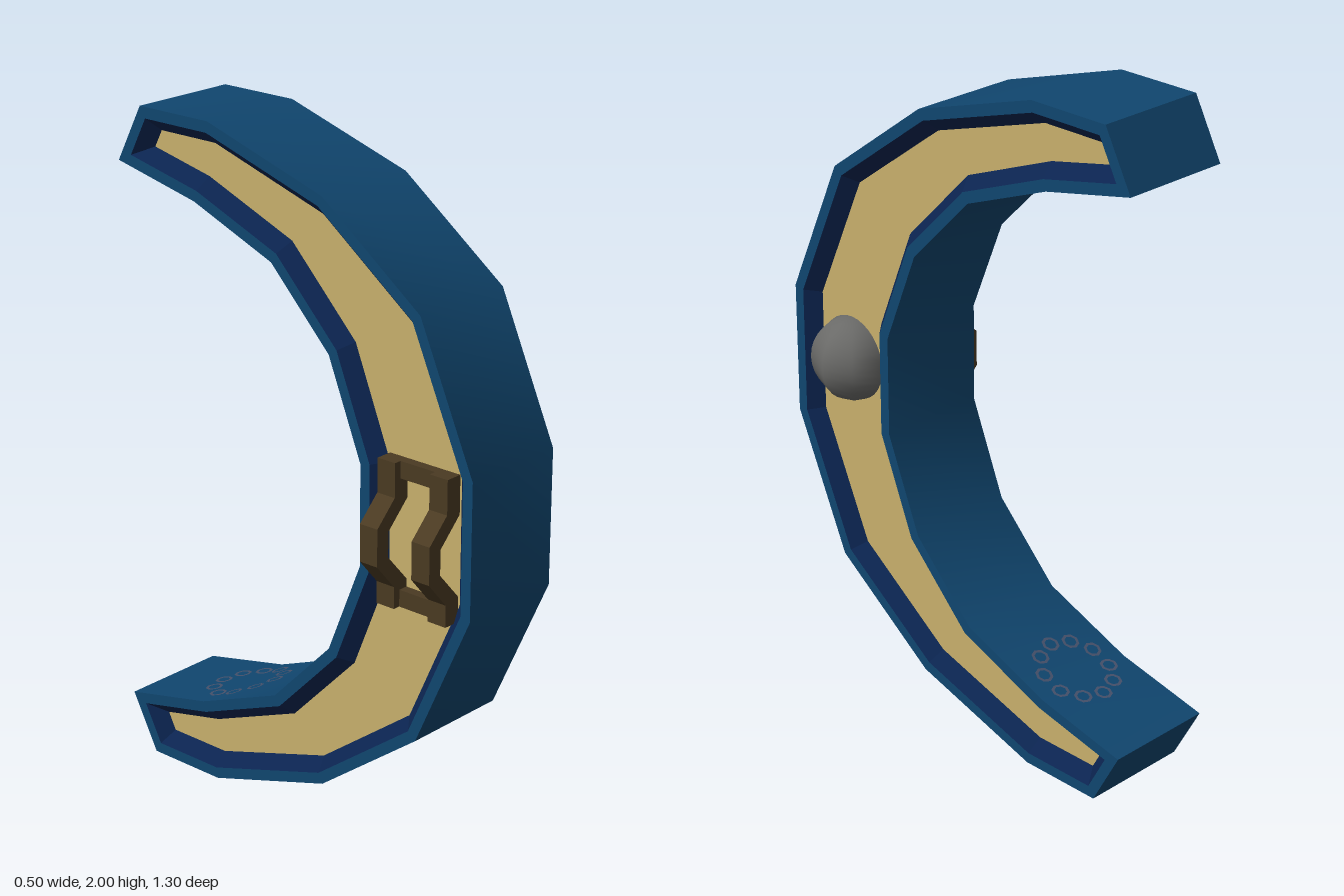
import * as THREE from 'three';

const HALF = 0.17; // half of the shield's width
const mat = (name, color) => {
  const m = new THREE.MeshStandardMaterial({ color });
  m.name = name;
  return m;
};

// Move a closed counter-clockwise outline inward by d with mitred corners
function inset(points, d) {
  const n = points.length;
  return points.map((p, i) => {
    const a = p.clone().sub(points[(i + n - 1) % n]).normalize();
    const b = points[(i + 1) % n].clone().sub(p).normalize();
    const n1 = new THREE.Vector2(-a.y, a.x);
    const n2 = new THREE.Vector2(-b.y, b.x);
    return n1.clone().add(n2).multiplyScalar(d / (1 + n1.dot(n2))).add(p);
  });
}

// Surface between two matching outlines lying at x = xa and x = xb
function strip(a, xa, b, xb, { closed = false, flat = false } = {}) {
  const pos = [], idx = [], n = a.length;
  a.forEach((p) => pos.push(xa, p.y, -p.x));
  b.forEach((p) => pos.push(xb, p.y, -p.x));
  for (let i = 0; i < (closed ? n : n - 1); i++) {
    const j = (i + 1) % n;
    idx.push(i, j, n + j, i, n + j, n + i);
  }
  let g = new THREE.BufferGeometry();
  g.setAttribute('position', new THREE.Float32BufferAttribute(pos, 3));
  g.setIndex(idx);
  if (flat) g = g.toNonIndexed();
  g.computeVertexNormals();
  return g;
}

export function createModel() {
  const model = new THREE.Group();
  const blue = mat('rimBlue', 0x10466f);
  const navy = mat('recessNavy', 0x0b2450);
  const tan = mat('panelTan', 0xc8b06c);
  const steel = mat('bossGrey', 0x6a6a68);
  const leather = mat('strapBrown', 0x4a3a22);
  const slate = mat('ornamentSlate', 0x45506a);
  const add = (name, geometry, material, parent = model) => {
    const mesh = new THREE.Mesh(geometry, material);
    mesh.name = name;
    parent.add(mesh);
    return mesh;
  };

  // Crescent outline as (-z, y); the lower half mirrors the upper
  const V = (x, y) => new THREE.Vector2(x, y);
  const flip = (list) => list.map((p) => V(p.x, 2 - p.y)).reverse();
  const outerTop = [V(0.56, 2), V(0.3, 2), V(-0.12, 1.87), V(-0.465, 1.615), V(-0.65, 1.2)];
  const innerTop = [V(-0.26, 1.15), V(-0.145, 1.435), V(0.065, 1.65), V(0.355, 1.765), V(0.65, 1.83)];
  const outer = [...outerTop, ...flip(outerTop)];
  const inner = [...flip(innerTop), ...innerTop];
  const outline = [...outer, ...inner];
  const rimEdge = inset(outline, 0.033);
  const panelEdge = inset(outline, 0.07);

  // Walls running across the width
  const wall = (name, pts) => add(name, strip(pts, -HALF, pts, HALF), blue);
  wall('outerWall', outer);
  wall('innerWall', inner);
  wall('lowerTip', [outer[9], inner[0]]);
  wall('upperTip', [inner[9], outer[0]]);

  // Rim, sloped recess and panel on both sides
  const depth = HALF - 0.042;
  const opts = { closed: true, flat: true };
  for (const s of [1, -1]) {
    const side = new THREE.Group();
    side.name = s > 0 ? 'leftFace' : 'rightFace';
    model.add(side);
    const ring = (name, a, xa, b, xb, m) =>
      add(name, s > 0 ? strip(a, xa, b, xb, opts) : strip(b, -xb, a, -xa, opts), m, side);
    ring('rim', outline, HALF, rimEdge, HALF, blue);
    ring('recess', rimEdge, HALF, panelEdge, depth, navy);
    const panel = add('panel',
      new THREE.ShapeGeometry(new THREE.Shape(panelEdge.map((p) => V(p.x * s, p.y)))), tan, side);
    panel.rotation.y = s * Math.PI / 2;
    panel.position.x = s * depth;
  }

  // Round boss
  const boss = add('boss', new THREE.SphereGeometry(1, 8, 16), steel);
  boss.scale.set(0.122, 0.128, 0.126);
  boss.position.set(0.125, 1.018, 0.455);

  // Grip: two bent straps joined at their ends
  const grip = new THREE.Group();
  grip.name = 'grip';
  model.add(grip);
  const strapShape = new THREE.Shape([
    V(-0.12, 1.19), V(-0.18, 1.19), V(-0.18, 1.09), V(-0.25, 1.02), V(-0.25, 0.91),
    V(-0.18, 0.83), V(-0.18, 0.765), V(-0.12, 0.765), V(-0.12, 0.83), V(-0.205, 0.925),
    V(-0.205, 1.0), V(-0.12, 1.085),
  ]);
  for (const z of [0.33, 0.512]) {
    add('strap', new THREE.ExtrudeGeometry(strapShape, { depth: 0.062, bevelEnabled: false }), leather, grip)
      .position.z = z;
  }
  for (const y of [0.79, 1.165]) {
    add('strapBar', new THREE.BoxGeometry(0.035, 0.05, 0.14), leather, grip).position.set(-0.14, y, 0.452);
  }

  // Small ring of links lying on the lower inner wall
  const ornament = new THREE.Group();
  ornament.name = 'linkRing';
  model.add(ornament);
  for (let i = 0; i < 10; i++) {
    const t = i / 10 * Math.PI * 2;
    const z = -0.33 + 0.105 * Math.cos(t);
    const k = z < -0.355 ? 0.065 / 0.295 : 0.115 / 0.29;
    const link = add('link', new THREE.RingGeometry(0.018, 0.027, 8), slate, ornament);
    link.position.set(0.105 * Math.sin(t), 0.235 + (z + 0.355) * k + 0.003, z);
    link.rotation.x = -Math.PI / 2 - Math.atan(k);
  }
  return model;
}
